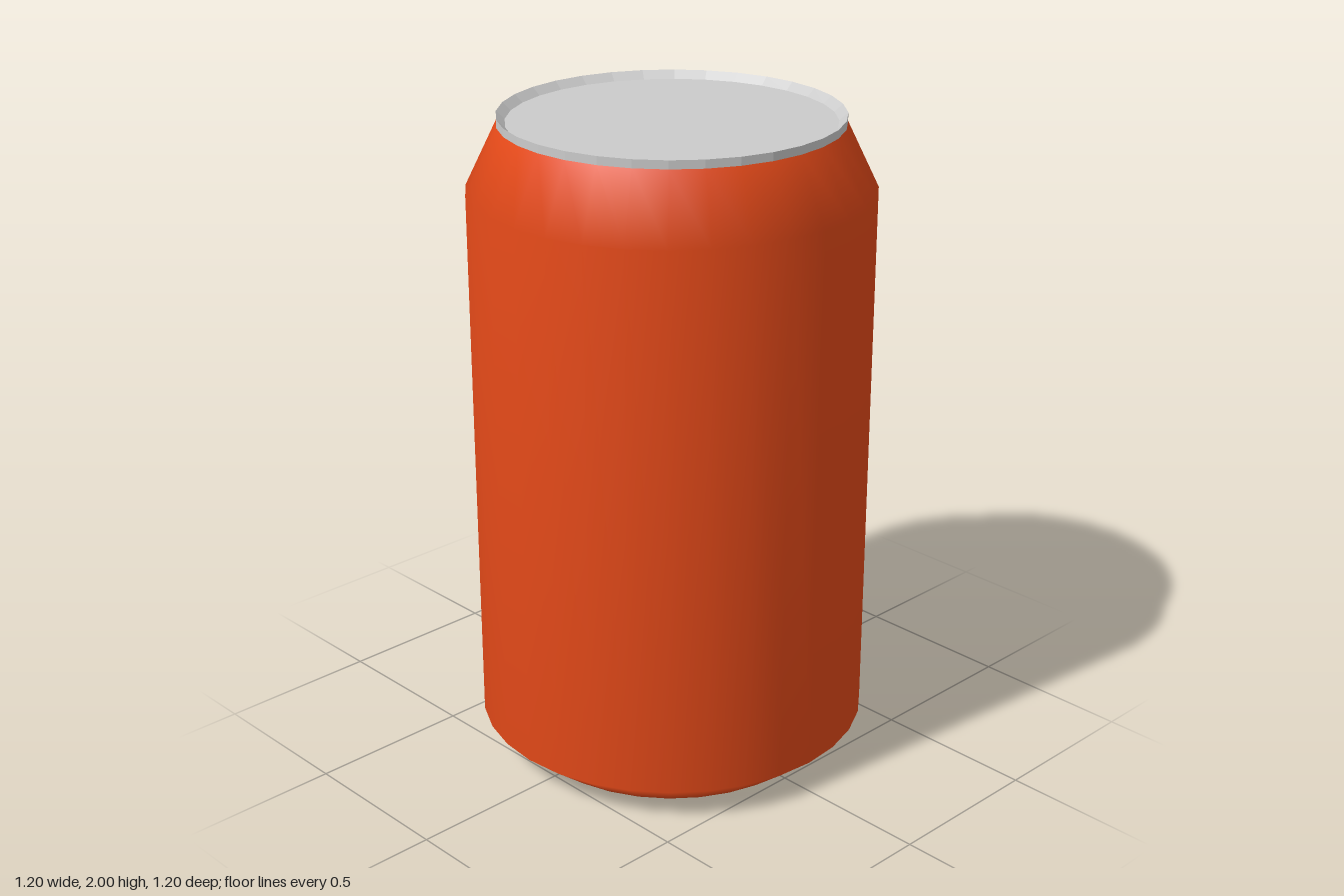
import * as THREE from 'three';

const SIDES = 32;

// Revolve a list of [radius, height] points around the y axis
function turned(name, points, material) {
  const profile = points.map(([r, y]) => new THREE.Vector2(r, y));
  const mesh = new THREE.Mesh(new THREE.LatheGeometry(profile, SIDES), material);
  mesh.name = name;
  return mesh;
}

export function createModel() {
  const can = new THREE.Group();
  can.name = 'drinkCan';

  const paint = new THREE.MeshStandardMaterial({ color: 0xe64a19 });
  const metal = new THREE.MeshStandardMaterial({ color: 0xcccccc, flatShading: true });

  // Painted wall: bottom chamfer, straight side, sloped shoulder
  can.add(turned('body', [[0.475, 0], [0.6, 0.1], [0.6, 1.78], [0.505, 1.975]], paint));

  // Raised rim sloping in to the sunken lid
  can.add(turned('rim', [[0.505, 1.975], [0.505, 2], [0.48, 1.977]], metal));
  can.add(turned('lid', [[0.48, 1.977], [0, 1.977]], metal));

  // Underside recess: flat centre with a sloped ring around it
  can.add(turned('baseCentre', [[0, 0.065], [0.42, 0.065]], metal));
  can.add(turned('baseRing', [[0.42, 0.065], [0.475, 0]], metal));

  return can;
}
